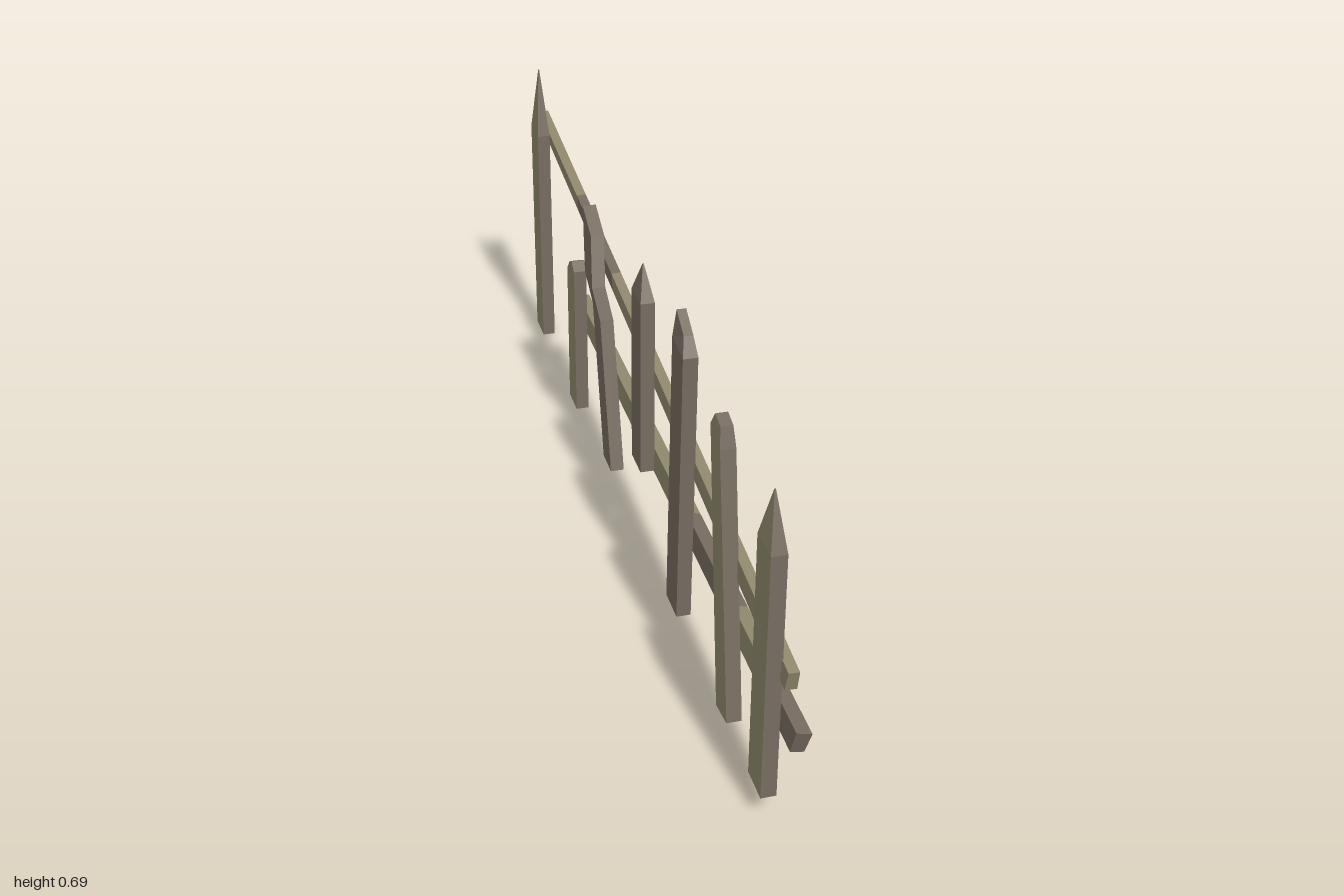
import * as THREE from 'three';

const tan = new THREE.MeshStandardMaterial({ name: 'paleWood', color: 0x8f886c });
const grey = new THREE.MeshStandardMaterial({ name: 'greyWood', color: 0x766c61 });
const BACK = -0.025, FRONT = 0.004, MID = -0.0105;

// Box with its rows of corners moved by a rule: place(row, sx, sz) -> [x, y, z]
function loft(name, rows, place, materials) {
  const box = new THREE.BoxGeometry(1, 1, 1, 1, rows - 1, 1);
  const p = box.attributes.position;
  for (let i = 0; i < p.count; i++) {
    const row = Math.round((p.getY(i) + 0.5) * (rows - 1));
    p.setXYZ(i, ...place(row, Math.sign(p.getX(i)), Math.sign(p.getZ(i))));
  }
  const geometry = box.toNonIndexed();
  geometry.computeVertexNormals();
  const mesh = new THREE.Mesh(geometry, materials);
  mesh.name = name;
  return mesh;
}

// Picket sections, bottom to top: [left z, left y, right z, right y, back x, front x]
function picket(name, sections, face, edge) {
  return loft(name, sections.length, (row, sx, sz) => {
    const [zl, yl, zr, yr, xb = BACK, xf = FRONT] = sections[row];
    return [sx > 0 ? xf : xb, sz > 0 ? yl : yr, sz > 0 ? zl : zr];
  }, [face, face, edge, edge, edge, edge]);
}

// Straight picket ending in a four-sided point
function pointed(zl, zr, bottom, shoulder, tip) {
  const z = (zl + zr) / 2;
  return [
    [zl, bottom, zr, bottom],
    [zl, shoulder, zr, shoulder],
    [z + 0.001, tip, z - 0.001, tip, MID - 0.001, MID + 0.001],
  ];
}

// Rail between two end sections of [x, y, z] corners, cut into coloured spans
function rail(name, start, end, spans) {
  const group = new THREE.Group();
  group.name = name;
  spans.forEach(([from, to, material], n) => {
    group.add(loft(name + 'Span' + (n + 1), 2, (row, sx, sz) => {
      const corner = (sz > 0 ? 0 : 2) + (sx > 0 ? 1 : 0);
      const t = row ? to : from;
      return start[corner].map((v, k) => v + (end[corner][k] - v) * t);
    }, material));
  });
  return group;
}

export function createModel() {
  const fence = new THREE.Group();
  fence.name = 'brokenFence';

  // Pickets from front to back
  fence.add(
    picket('frontPointedPicket', pointed(0.928, 0.858, 0.05, 0.555, 0.66), tan, grey),
    picket('leaningRoundedPicket', [
      [0.727, 0.05, 0.662, 0.04],
      [0.646, 0.582, 0.587, 0.603],
      [0.635, 0.622, 0.603, 0.63, -0.022, 0.001],
    ], tan, grey),
    picket('tallChippedPicket', [
      [0.389, 0.04, 0.314, 0.04],
      [0.41, 0.63, 0.337, 0.64],
      [0.389, 0.665, 0.34, 0.695, -0.018, 0],
    ], grey, grey),
    picket('shortHangingPicket', pointed(0.107, 0.035, 0.2, 0.587, 0.657), grey, grey),
    picket('bentPicket', [
      [-0.153, 0.04, -0.222, 0.04],
      [-0.24, 0.37, -0.31, 0.38],
      [-0.262, 0.44, -0.33, 0.45, -0.037, -0.008],
      [-0.303, 0.545, -0.378, 0.582, -0.029, 0],
    ], grey, grey),
    picket('brokenStubPicket', [
      [-0.499, 0, -0.571, 0],
      [-0.499, 0.362, -0.571, 0.34],
      [-0.523, 0.378, -0.544, 0.369],
    ], tan, grey),
    picket('rearPointedPicket', pointed(-0.88, -0.957, 0, 0.54, 0.695), tan, grey),
  );

  // Rails: corners are top back, top front, bottom back, bottom front
  fence.add(
    rail('lowerRail',
      [[0.007, 0.248, 1], [0.035, 0.241, 1], [0.003, 0.197, 0.985], [0.028, 0.192, 0.985]],
      [[0.007, 0.246, -0.614], [0.035, 0.24, -0.614], [0.003, 0.202, -0.641], [0.028, 0.197, -0.641]],
      [[0, 0.13, grey], [0.13, 0.22, tan], [0.22, 0.41, grey], [0.41, 1, tan]]),
    rail('slopingUpperRail',
      [[0.002, 0.343, 0.962], [0.022, 0.342, 0.962], [0, 0.301, 0.952], [0.022, 0.3, 0.952]],
      [[0.005, 0.555, -1], [0.026, 0.557, -1], [0.009, 0.518, -0.99], [0.033, 0.515, -0.99]],
      [[0, 0.62, tan], [0.62, 0.79, grey], [0.79, 1, tan]]),
  );
  return fence;
}
